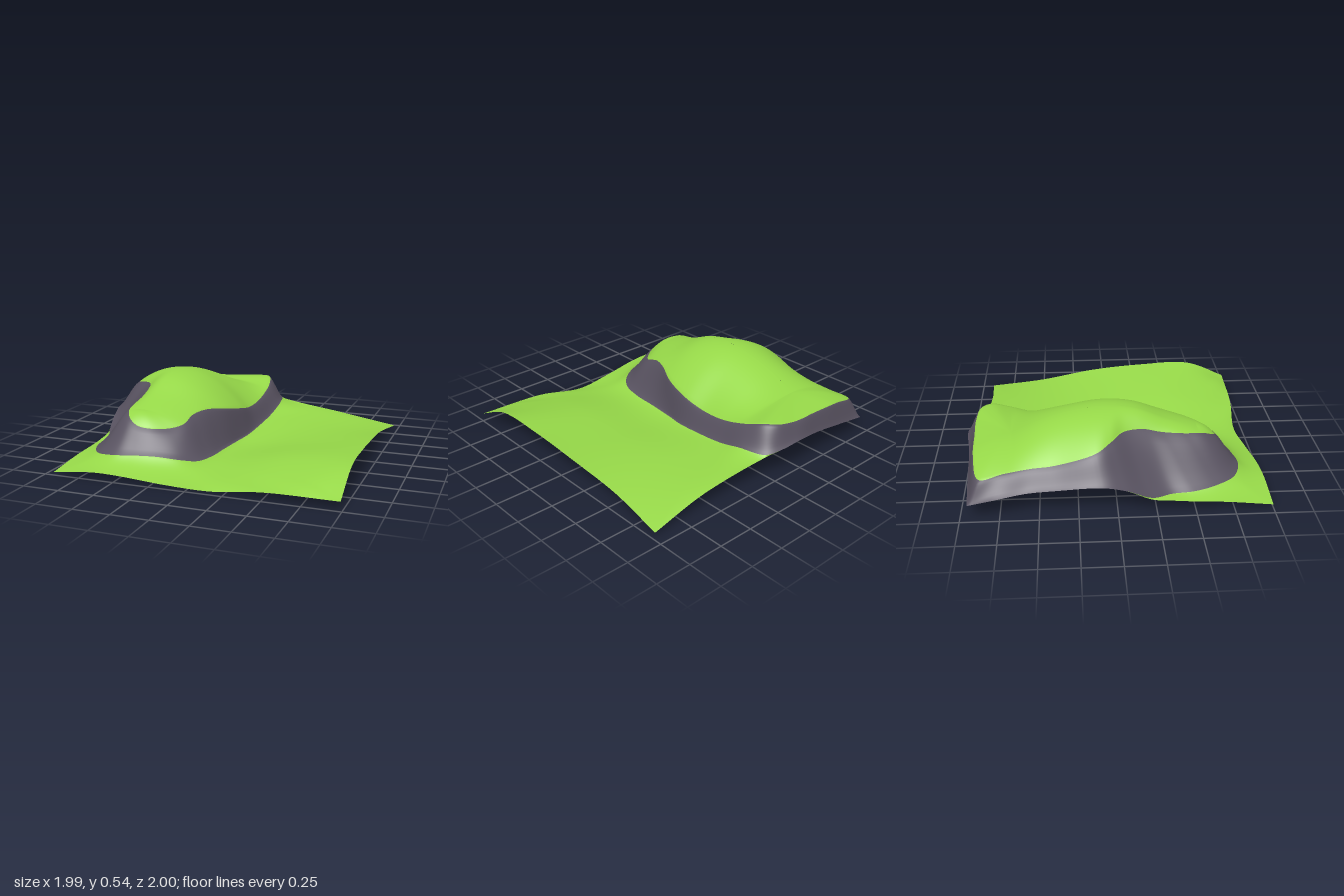
import * as THREE from 'three';

const STEPS = 8; // columns between neighbouring spokes

// Loops run clockwise seen from above, starting at the back corner on -x. Each point is x, y, z.
const RIM = [ // upper edge of the rock band
  [-.91, .25, -.87], [-.7, .3, -.92], [-.45, .32, -.93], [-.25, .33, -.935], [-.1, .35, -.91], [-.04, .35, -.84],
  [-.01, .31, -.72], [-.01, .25, -.5], [-.02, .235, -.3], [-.02, .27, -.1], [-.06, .31, .1], [-.14, .34, .27],
  [-.19, .33, .4], [-.21, .29, .52], [-.28, .275, .6], [-.38, .28, .665], [-.47, .295, .68], [-.54, .33, .65],
  [-.585, .365, .58], [-.61, .38, .45], [-.62, .4, .3], [-.63, .43, .18], [-.68, .44, .05], [-.79, .425, -.04],
  [-.87, .39, -.14], [-.865, .31, -.4], [-.86, .29, -.55], [-.88, .27, -.72],
];
const FOOT = [ // lower edge of the rock band
  [-.97, .1, -.95], [-.7, .15, -.965], [-.45, .19, -.975], [-.22, .22, -1], [-.08, .2, -.98], [.03, .18, -.93],
  [.08, .175, -.75], [.07, .125, -.55], [.05, .09, -.3], [.03, .07, -.1], [0, .06, .05], [-.02, .06, .25],
  [-.03, .065, .45], [-.07, .075, .62], [-.15, .1, .71], [-.3, .125, .77], [-.45, .13, .81], [-.58, .125, .83],
  [-.72, .11, .78], [-.81, .1, .65], [-.86, .09, .5], [-.875, .085, .35], [-.94, .1, .22], [-.98, .18, .05],
  [-1, .22, -.1], [-.97, .19, -.4], [-.96, .17, -.58], [-.995, .15, -.78],
];
const EDGE = [ // outer border of the lawn, for spokes 5 to 22
  [.04, .165, -.935], [.55, .095, -.895], [.97, .02, -.915], [.94, .08, -.5], [.965, .145, -.1], [.975, .18, .3],
  [.985, .182, .7], [.99, .06, .995], [.5, .05, .98], [.15, 0, .945], [-.15, .015, .97], [-.45, .045, .995],
  [-.65, .05, 1], [-.935, .02, 1], [-.935, .05, .7], [-.935, .06, .5], [-.935, .07, .37], [-.945, .09, .22],
];
const FIRST = 5;
const CORNERS = [0, 7, 12, 18, 28]; // spokes where the border turns sharply

// Heights of the crest of the hill, evenly spaced from back to front
const CREST = [.36, .455, .515, .542, .52, .44, .375];
const CREST_BACK = -0.68, CREST_FRONT = 0.55;

// Heights of the open ground, every half unit in x (across) and z (down)
const GROUND = [
  [.1, .15, .15, .115, .02],
  [.1, .12, .1, .095, .08],
  [.1, .08, .035, .1, .155],
  [.06, .08, .04, .125, .19],
  [.02, .055, .005, .05, .12],
];

const toVectors = (points) => points.map((p) => new THREE.Vector3(...p));

// Smooth value between evenly spaced numbers; t counts in steps
function spline(v, t) {
  const n = v.length;
  const i = THREE.MathUtils.clamp(Math.floor(t), 0, n - 2);
  const f = t - i;
  const before = i > 0 ? v[i - 1] : 2 * v[0] - v[1];
  const after = i + 2 < n ? v[i + 2] : 2 * v[n - 1] - v[n - 2];
  const m0 = (v[i + 1] - before) / 2;
  const m1 = (after - v[i]) / 2;
  const d = v[i + 1] - v[i];
  return v[i] + f * (m0 + f * (3 * d - 2 * m0 - m1 + f * (m0 + m1 - 2 * d)));
}

function groundHeight(x, z) {
  const rows = GROUND.map((row) => spline(row, (x + 1) * 2));
  const cornerDip = 0.06 * Math.exp(-((x - 1) ** 2 + (z - 1) ** 2) / 0.03);
  return spline(rows, (z + 1) * 2) - cornerDip;
}

// Point on the crest level with a point of the rim
function crestPoint(p) {
  const z = THREE.MathUtils.clamp(p.z, CREST_BACK, CREST_FRONT);
  const t = (z - CREST_BACK) / (CREST_FRONT - CREST_BACK);
  return new THREE.Vector3(-0.5, spline(CREST, t * (CREST.length - 1)), z);
}

// Height rules across the three zones; t runs from the inner loop to the outer one
function crown(a, b, t) {
  const p = a.clone().lerp(b, t);
  p.y = b.y + (a.y - b.y) * (1 - t * t);
  return p;
}
function cliff(a, b, t) {
  const p = a.clone().lerp(b, t);
  p.y = a.y + (b.y - a.y) * (t + t * t * (3 - 2 * t)) / 2;
  return p;
}
function lawn(a, b, t) {
  const p = a.clone().lerp(b, t);
  const width = Math.hypot(b.x - a.x, b.z - a.z);
  const inner = (a.y - groundHeight(a.x, a.z)) * (1 - t) * Math.exp(-t * width / 0.12);
  const outer = (b.y - groundHeight(b.x, b.z)) * t * Math.exp(-(1 - t) * width / 0.2);
  p.y = groundHeight(p.x, p.z) + inner + outer;
  return p;
}

export function createModel() {
  const group = new THREE.Group();
  const grass = new THREE.MeshStandardMaterial({ name: 'grass', color: 0x96d848, side: THREE.DoubleSide });
  const rock = new THREE.MeshStandardMaterial({ name: 'rock', color: 0x585260, side: THREE.DoubleSide });

  const rim = new THREE.CatmullRomCurve3(toVectors(RIM), true);
  const foot = new THREE.CatmullRomCurve3(toVectors([...FOOT, FOOT[0]]));
  const outline = toVectors([...FOOT, FOOT[0]].map((p, i) => EDGE[i - FIRST] ?? p));
  const sides = CORNERS.slice(1).map((end, i) => ({
    start: CORNERS[i], end, curve: new THREE.CatmullRomCurve3(outline.slice(CORNERS[i], end + 1)),
  }));
  const borderPoint = (spoke) => {
    const { start, end, curve } = sides.find((side) => spoke <= side.end);
    return curve.getPoint((spoke - start) / (end - start));
  };
  const columns = RIM.length * STEPS;

  const zones = [
    { name: 'hillTop', rows: 20, rule: crown, material: grass },
    { name: 'cliffBand', rows: 8, rule: cliff, material: rock },
    { name: 'lawn', rows: 24, rule: lawn, material: grass },
  ];

  // Rings of points from the crest out to the border
  const points = [];
  const rings = zones.reduce((n, zone) => n + zone.rows, 1);
  for (let j = 0; j < columns; j++) {
    const spoke = j / STEPS;
    const high = rim.getPoint(j / columns);
    const low = foot.getPoint(j / columns);
    const hasLawn = spoke > FIRST - 1 && spoke < FIRST + EDGE.length;
    const stations = [crestPoint(high), high, low, hasLawn ? borderPoint(spoke) : low];
    points.push(stations[0]);
    zones.forEach((zone, k) => {
      for (let i = 1; i <= zone.rows; i++) points.push(zone.rule(stations[k], stations[k + 1], i / zone.rows));
    });
  }

  // Faces of each zone, leaving out those that collapse to nothing
  const triangle = new THREE.Triangle();
  const addFace = (list, a, b, c) => {
    triangle.set(points[a], points[b], points[c]);
    if (triangle.getArea() > 1e-8) list.push(a, b, c);
  };
  let row = 0;
  for (const zone of zones) {
    zone.index = [];
    for (let i = row; i < row + zone.rows; i++) {
      for (let j = 0; j < columns; j++) {
        const a = j * rings + i;
        const d = ((j + 1) % columns) * rings + i;
        addFace(zone.index, a, d, d + 1);
        addFace(zone.index, a, d + 1, a + 1);
      }
    }
    row += zone.rows;
  }

  // Shared smooth normals, so the zones join without a crease
  const surface = new THREE.BufferGeometry().setFromPoints(points);
  surface.setIndex(zones.flatMap((zone) => zone.index));
  surface.computeVertexNormals();

  for (const zone of zones) {
    const geometry = new THREE.BufferGeometry();
    geometry.setAttribute('position', surface.getAttribute('position'));
    geometry.setAttribute('normal', surface.getAttribute('normal'));
    geometry.setIndex(zone.index);
    const mesh = new THREE.Mesh(geometry, zone.material);
    mesh.name = zone.name;
    group.add(mesh);
  }
  return group;
}
